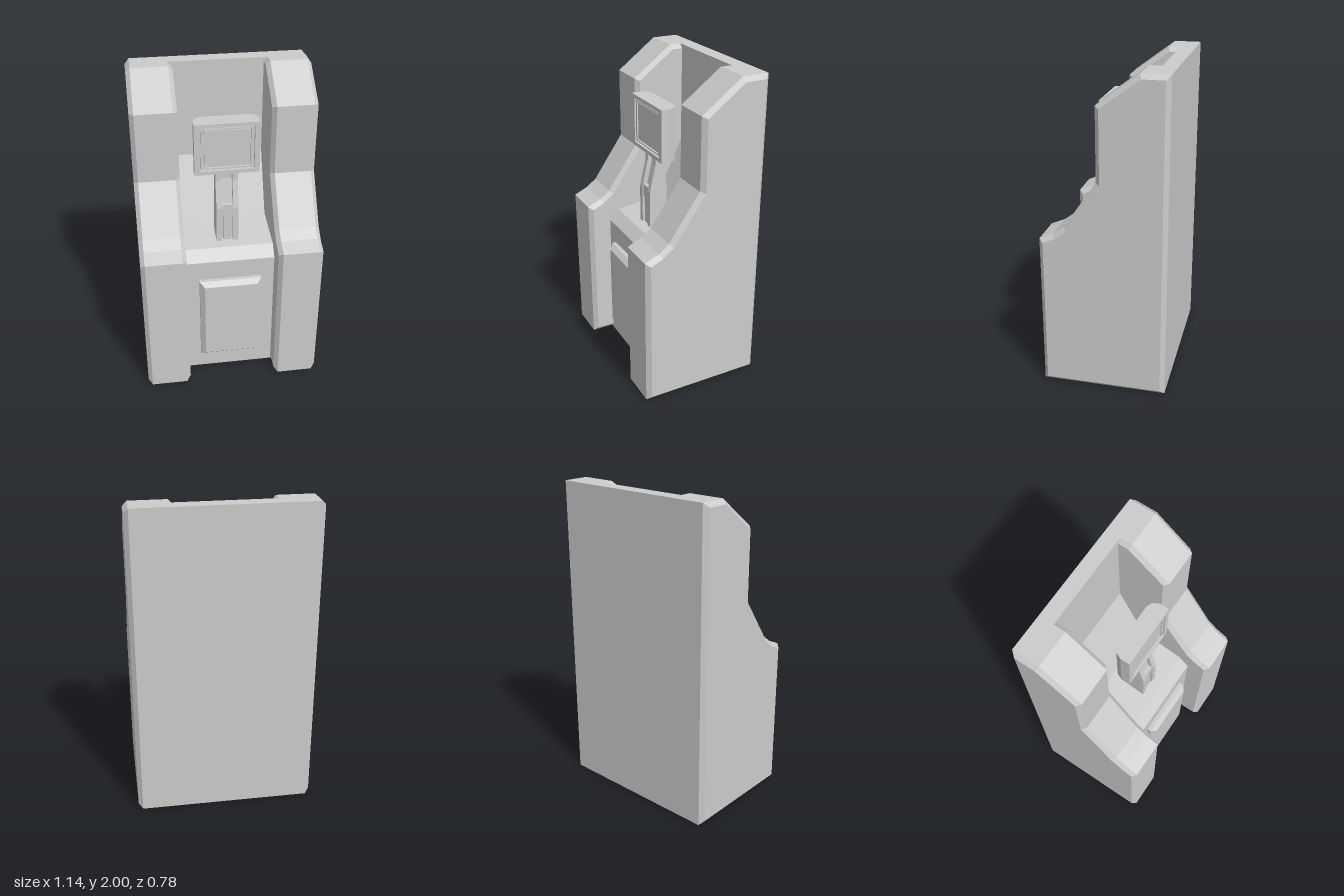
import * as THREE from 'three';

const material = new THREE.MeshStandardMaterial({ color: 0xcccccc, flatShading: true });

// Skin a row of [x, profile] sections; profiles are counter-clockwise [z, y] points
function loft(sections) {
  const pos = [];
  const put = (x, p) => pos.push(x, p[1], p[0]);
  for (let s = 0; s < sections.length - 1; s++) {
    const [x0, A] = sections[s], [x1, B] = sections[s + 1];
    for (let i = 0; i < A.length; i++) {
      const j = (i + 1) % A.length;
      put(x0, A[i]); put(x1, B[j]); put(x0, A[j]);
      put(x0, A[i]); put(x1, B[i]); put(x1, B[j]);
    }
  }
  const cap = ([x, P], flip) => {
    const faces = THREE.ShapeUtils.triangulateShape(P.map(p => new THREE.Vector2(...p)), []);
    for (const [a, b, c] of faces) (flip ? [a, c, b] : [a, b, c]).forEach(k => put(x, P[k]));
  };
  cap(sections[0], false);
  cap(sections[sections.length - 1], true);
  const g = new THREE.BufferGeometry();
  g.setAttribute('position', new THREE.Float32BufferAttribute(pos, 3));
  g.computeVertexNormals();
  return g;
}

// Move every edge of a counter-clockwise profile inward by d
function inset(P, d) {
  const n = P.length;
  const normal = (a, b) => {
    const l = Math.hypot(b[0] - a[0], b[1] - a[1]);
    return [(a[1] - b[1]) / l, (b[0] - a[0]) / l];
  };
  return P.map((p, i) => {
    const u = normal(P[(i + n - 1) % n], p), v = normal(p, P[(i + 1) % n]);
    const k = d / (1 + u[0] * v[0] + u[1] * v[1]);
    return [p[0] + (u[0] + v[0]) * k, p[1] + (u[1] + v[1]) * k];
  });
}

const rect = (w, h, T = THREE.Shape) => new T([[-w, -h], [w, -h], [w, h], [-w, h]].map(p => new THREE.Vector2(...p)));

// Rectangular ring facing +z, half sizes given
function ring(w, h, iw, ih, depth) {
  const s = rect(w, h);
  s.holes.push(rect(iw, ih, THREE.Path));
  return new THREE.ExtrudeGeometry(s, { depth, bevelEnabled: false });
}

export function createModel() {
  const model = new THREE.Group();
  const add = (name, geometry, x = 0, y = 0, z = 0, parent = model) => {
    const m = new THREE.Mesh(geometry, material);
    m.name = name;
    m.position.set(x, y, z);
    parent.add(m);
    return m;
  };

  // Side walls with chamfered edges
  const side = [[-0.39, 0], [0.39, 0], [0.39, 0.98], [0.30, 1.02], [0.235, 1.07],
    [0.035, 1.36], [0.035, 1.81], [-0.22, 2], [-0.39, 2]];
  const small = inset(side, 0.027);
  const wall = [[0.285, small], [0.311, side], [0.543, side], [0.57, small]];
  add('leftSideWall', loft(wall));
  add('rightSideWall', loft(wall.map(([x, p]) => [-x, p]).reverse()));

  // Centre body: front, sloped ledge, shelf and recessed back
  const centre = [[-0.39, 0], [0.245, 0], [0.245, 0.865], [0.18, 0.93], [-0.115, 0.975],
    [-0.295, 1.36], [-0.295, 2], [-0.39, 2]];
  add('centreBody', loft([[-0.311, centre], [0.311, centre]]));

  // Bevelled front door
  add('frontDoor', new THREE.ExtrudeGeometry(rect(0.17, 0.2725), {
    depth: 0.035, bevelThickness: 0.03, bevelSize: 0.03, bevelSegments: 1,
  }), 0, 0.4325, 0.235);

  // Stand: two cranked rails and a recessed core
  const stand = new THREE.Group();
  stand.name = 'screenStand';
  model.add(stand);
  const rail = [[0, 0.92], [0.12, 0.92], [0.12, 1.18], [0.08, 1.36], [0.08, 1.43],
    [0.02, 1.43], [0.02, 1.36], [0, 1.2]];
  for (const s of [-1, 1]) {
    const xs = [s * 0.036, s * 0.07].sort((a, b) => a - b);
    add(s > 0 ? 'leftRail' : 'rightRail', loft(xs.map(x => [x, rail])), 0, 0, 0, stand);
  }
  const core = rail.map(([z, y]) => [z > 0.05 ? z - 0.03 : z + 0.005, y]);
  add('standCore', loft([[-0.037, core], [0.037, core]]), 0, 0, 0, stand);
  add('coreStrip', new THREE.BoxGeometry(0.05, 0.2, 0.04), 0, 1.02, 0.09, stand);
  add('coreBlock', new THREE.BoxGeometry(0.072, 0.08, 0.04), 0, 1.16, 0.092, stand);

  // Screen housing with a tapered back, stepped frame and display
  const screen = new THREE.Group();
  screen.name = 'screen';
  screen.position.set(0, 1.5875, 0);
  model.add(screen);
  const plan = [[-0.2, -0.085], [0.2, -0.085], [0.2, -0.045], [0.18, -0.005],
    [0.145, 0.01], [-0.145, 0.01], [-0.18, -0.005], [-0.2, -0.045]];
  const housing = new THREE.ExtrudeGeometry(new THREE.Shape(plan.map(p => new THREE.Vector2(...p))),
    { depth: 0.335, bevelEnabled: false });
  housing.rotateX(-Math.PI / 2);
  add('screenHousing', housing, 0, -0.1675, 0, screen);
  add('outerFrame', ring(0.2, 0.1675, 0.168, 0.143, 0.02), 0, 0, 0.085, screen);
  add('innerFrame', ring(0.16, 0.135, 0.145, 0.126, 0.014), 0, 0, 0.085, screen);
  add('display', new THREE.BoxGeometry(0.276, 0.24, 0.02), 0, 0, 0.084, screen);

  return model;
}
